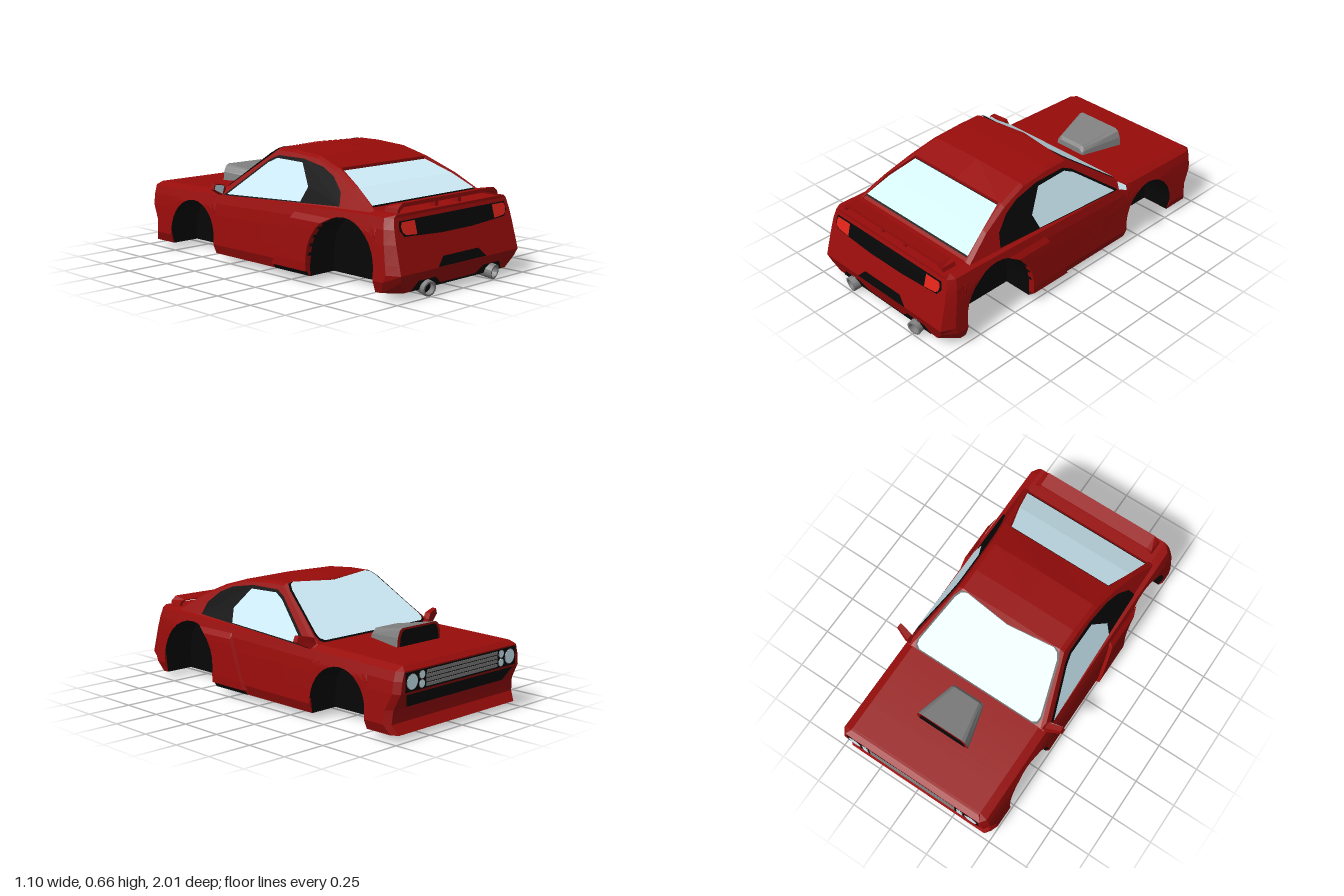
import * as THREE from 'three';

const mat = (color, double) => new THREE.MeshStandardMaterial({ color, flatShading: true, side: double ? THREE.DoubleSide : THREE.FrontSide });
const RED = mat(0x980c0a), BLACK = mat(0x060606), GREY = mat(0x808080);
const BLACK2 = mat(0x060606, true), GLASS = mat(0xd2f0fc, true), LAMP = mat(0xe0241a, true), RED2 = mat(0x980c0a, true), GREY2 = mat(0x808080, true);

// piecewise linear interpolation through [key, value] pairs
function lerpTable(t, k) {
  if (k <= t[0][0]) return t[0][1];
  for (let i = 1; i < t.length; i++) {
    if (k <= t[i][0]) {
      const f = (k - t[i - 1][0]) / (t[i][0] - t[i - 1][0]);
      return t[i - 1][1] + f * (t[i][1] - t[i - 1][1]);
    }
  }
  return t[t.length - 1][1];
}

// body lines
const FLOOR = 0.036;
const noseZ = y => lerpTable([[0.036, -0.98], [0.088, -0.947], [0.16, -0.953], [0.245, -0.994], [0.36, -0.995]], y);
const tailZ = y => lerpTable([[0.036, 0.955], [0.135, 0.99], [0.42, 0.915]], y);
const shoulderY = z => lerpTable([[-0.99, 0.355], [-0.36, 0.37], [0.4, 0.398], [0.75, 0.409]], z);
const sideX = (y, z) => lerpTable([[0, 0.48], [0.1, 0.503], [0.8, 0.485], [1, 0.466]], (y - FLOOR) / (shoulderY(z) - FLOOR));
const ROOF = [[-0.39, 0.39], [-0.03, 0.655], [0.1, 0.655], [0.289, 0.64], [0.444, 0.594], [0.604, 0.524], [0.765, 0.425]];
const roofY = z => lerpTable(ROOF, z);
const cabinX = y => 0.447 - (y - 0.4) * 0.44;
const recess = z => lerpTable([[0.444, 0.018], [0.604, 0.018], [0.765, 0.006]], z);
const ARCHES = [{ z: -0.59, y: 0.12, r: 0.195 }, { z: 0.605, y: 0.145, r: 0.23 }];

function add(parent, name, geo, material) {
  const m = new THREE.Mesh(geo, material);
  m.name = name;
  parent.add(m);
  return m;
}

// skin through successive sections of [x, y, z] points
function loft(sections) {
  const p = [];
  for (let i = 0; i + 1 < sections.length; i++) {
    for (let j = 0; j + 1 < sections[i].length; j++) {
      const a = sections[i][j], b = sections[i][j + 1], c = sections[i + 1][j + 1], d = sections[i + 1][j];
      p.push(...a, ...b, ...d, ...b, ...c, ...d);
    }
  }
  const g = new THREE.BufferGeometry();
  g.setAttribute('position', new THREE.Float32BufferAttribute(p, 3));
  g.computeVertexNormals();
  return g;
}

// move every vertex by a mapping rule
function remap(g, map) {
  const pos = g.attributes.position;
  for (let i = 0; i < pos.count; i++) pos.setXYZ(i, ...map(pos.getX(i), pos.getY(i), pos.getZ(i)));
  g.computeVertexNormals();
  return g;
}
const outline = pts => new THREE.Shape(pts.map(q => new THREE.Vector2(q[0], q[1])));
const panel = (pts, map) => remap(new THREE.ShapeGeometry(outline(pts)), map);
const mirrored = half => [...half, ...half.slice().reverse().map(([x, ...rest]) => [-x, ...rest])];

function buildBody(car) {
  // columns along the car: z rule, lower edge, corner trim by height, hood edge setback
  const cols = [
    { z: noseZ, zc: -0.99, yb: FLOOR, trim: () => 0.025, back: 0.03 },
    { z: y => noseZ(y) + 0.035, zc: -0.955, yb: FLOOR, trim: () => 0, back: 0.01 },
  ];
  const at = (z, yb) => cols.push({ z: () => z, zc: z, yb, trim: () => 0, back: 0 });
  for (const a of ARCHES) {
    at(a.z - a.r, FLOOR);
    for (let i = 0; i <= 16; i++) {
      const t = Math.PI * (1 - i / 16);
      at(a.z + a.r * Math.cos(t), a.y + a.r * Math.sin(t));
    }
    at(a.z + a.r, FLOOR);
    if (a.z < 0) [-0.2, 0, 0.2].forEach(z => at(z, FLOOR));
  }
  cols.push({ z: y => lerpTable([[0.036, 0.875], [0.135, 0.92], [0.42, 0.875]], y), zc: 0.9, yb: FLOOR, trim: () => 0, back: 0 });
  cols.push({ z: tailZ, zc: 0.95, yb: FLOOR, trim: y => lerpTable([[0.036, 0.08], [0.135, 0.035], [0.42, 0.025]], y), back: 0 });

  const T = [0, 0.161, 0.265, 0.39, 0.656, 0.85, 1];
  const rings = cols.map(c => {
    const ys = shoulderY(c.zc);
    const half = T.map(t => {
      const y = c.yb + (ys - c.yb) * t;
      return [sideX(y, c.zc) - c.trim(y), y, c.z(y)];
    });
    half.push([0.42, ys + (c.zc < 0 ? 0.022 : 0.014), c.z(ys) + c.back]);
    return mirrored(half);
  });
  const n = T.length + 1, last = rings[rings.length - 1];
  const rows = ring => Array.from({ length: n }, (_, i) => [ring[i], ring[2 * n - 1 - i]]);
  add(car, 'bodyShell', loft(rings), RED);
  add(car, 'noseFace', loft(rows(rings[0])), RED);
  add(car, 'tailFace', loft(rows(last).map(([r, l]) => [l, r])), RED);
  add(car, 'underside', loft(rings.map(r => [r[2 * n - 1], r[0]])), BLACK2);
  // inner walls of the wheel wells
  for (const a of ARCHES) {
    const h = a.y + a.r - FLOOR;
    add(car, 'wheelWellCore', new THREE.BoxGeometry(0.62, h, 2 * a.r + 0.01), BLACK).position.set(0, FLOOR + h / 2, a.z);
  }
}

function buildCabin(car) {
  // the rear window sits in a recess between the pillars
  const station = (z, y, drop) => {
    const b = shoulderY(z) - 0.01, e = y - 0.012;
    const crown = z > -0.1 && z < 0.4 ? 0.006 : 0;
    const g = lerpTable([[0.289, 0.3], [0.444, 0.324], [0.604, 0.371], [0.765, 0.408]], z);
    return mirrored([[cabinX(b), b, z], [cabinX(e), e, z], [cabinX(y) - 0.02, y, z], [g, y, z], [g, y - drop, z], [0, y + crown - drop, z]]);
  };
  const front = ROOF.slice(0, 5).map(([z, y]) => station(z, y, 0));
  const rear = ROOF.slice(4).map(([z, y]) => station(z, y, recess(z)));
  add(car, 'cabin', loft([...front, ...rear]), RED);
  // pointed roof lip above the windscreen
  add(car, 'roofLip', loft([[[0.29, 0.656, -0.032], [0, 0.658, -0.068], [-0.29, 0.656, -0.032]],
    [[0.29, 0.656, -0.028], [0, 0.662, -0.028], [-0.29, 0.656, -0.028]]]), RED2);

  const onRoof = e => (x, z) => [x, roofY(z) + e, z];
  add(car, 'windscreenTrim', panel(mirrored([[0, -0.06], [0.29, -0.035], [0.32, -0.045], [0.342, -0.08], [0.412, -0.345], [0.408, -0.378], [0.385, -0.39]]), onRoof(0.006)), BLACK2);
  add(car, 'windscreen', panel(mirrored([[0, -0.066], [0.28, -0.04], [0.31, -0.052], [0.33, -0.085], [0.402, -0.345], [0.398, -0.37], [0.375, -0.385]]), onRoof(0.011)), GLASS);
  const rearStrip = (e, s) => loft([[0.452 - s, 0.32], [0.604, 0.368], [0.735 + s, 0.4]].map(([z, x]) => {
    const y = roofY(z) - recess(z) + e;
    return [[x, y, z], [-x, y, z]];
  }));
  add(car, 'rearWindowTrim', rearStrip(0.003, 0.007), BLACK2);
  add(car, 'rearWindow', rearStrip(0.007, 0), GLASS);

  for (const s of [1, -1]) {
    const onSide = e => (z, y) => [s * (cabinX(y) + e), y, z];
    add(car, 'sideWindowTrim', panel([[0.55, 0.42], [0.53, 0.488], [0.45, 0.555], [0.36, 0.593], [0.2, 0.62], [0, 0.62], [-0.06, 0.592], [-0.34, 0.374], [-0.3, 0.374]], onSide(0.007)), BLACK2);
    add(car, 'sideWindow', panel([[0.27, 0.411], [0.295, 0.488], [0.2, 0.602], [0, 0.606], [-0.06, 0.577], [-0.31, 0.382]], onSide(0.012)), GLASS);
  }
}

function buildSides(car) {
  for (const s of [1, -1]) {
    // flared panel between the door line and the rear arch
    const a = ARCHES[1], rows = [0.066, 0.11, 0.15, 0.2, 0.25, 0.3, 0.33, 0.36].map(y => {
      const z0 = 0.115 + (y - 0.07) * 0.48;
      const z1 = a.z - (y > a.y ? Math.sqrt(a.r ** 2 - (y - a.y) ** 2) : a.r);
      const out = y < 0.35 ? 0.018 : 0.005;
      return [[s * (sideX(y, z0) - 0.01), y, z0 - 0.01], [s * (sideX(y, z0) + out), y, z0],
        [s * (sideX(y, z1) + out), y, z1], [s * (sideX(y, z1) - 0.02), y, z1]];
    });
    add(car, 'fenderFlare', loft(rows), RED2);
    add(car, 'sillTrim', panel([[0.105, 0.037], [0.375, 0.037], [0.375, 0.066], [0.115, 0.066]], (z, y) => [s * (sideX(y, z) + 0.006), y, z]), BLACK2);

    // door mirror, swept back toward its tip
    const swept = (x, y, z) => [s * x, y, z * (x > 0.5 ? 0.7 : 1) - 0.335 + (x - 0.5) * 0.2];
    const housing = new THREE.ExtrudeGeometry(outline([[0.44, 0.398], [0.475, 0.373], [0.549, 0.413], [0.537, 0.446], [0.455, 0.43]]), { depth: 0.04, bevelEnabled: false });
    add(car, 'mirrorHousing', remap(housing.translate(0, 0, -0.04), swept), RED2);
    add(car, 'mirrorGlass', panel([[0.478, 0.381], [0.543, 0.414], [0.533, 0.44], [0.46, 0.426]], (x, y) => swept(x, y, 0.004)), GLASS);
  }
}

function buildNose(car) {
  const onNose = e => (x, y) => [x, y, noseZ(y) - e];
  add(car, 'grillePanel', panel(mirrored([[0.435, 0.248], [0.435, 0.349]]), onNose(0.002)), BLACK2);
  add(car, 'bumperIntake', panel(mirrored([[0.38, 0.163], [0.42, 0.235]]), onNose(0.002)), BLACK2);
  for (let i = 0; i < 4; i++) add(car, 'grilleSlat', new THREE.BoxGeometry(0.56, 0.017, 0.008), GREY).position.set(0, 0.266 + i * 0.022, -0.995);
  for (const s of [1, -1]) {
    for (const [x, y, r] of [[0.385, 0.298, 0.038], [0.313, 0.322, 0.019], [0.313, 0.276, 0.019]]) {
      add(car, 'headlightRim', new THREE.TorusGeometry(r, 0.004, 6, 20), GREY).position.set(s * x, y, -0.995);
      const lens = add(car, 'headlightLens', new THREE.CylinderGeometry(r, r, 0.01, 20), GLASS);
      lens.rotation.x = Math.PI / 2;
      lens.position.set(s * x, y, -0.994);
    }
  }
  // hood scoop with a dark mouth
  const section = (z, w, t, h) => mirrored([[w, 0.38], [w * 0.97, 0.385 + (h - 0.385) * 0.5], [(w + t) / 2, h - 0.012], [t, h]]).map(([x, y]) => [x, y, z]);
  add(car, 'hoodScoop', loft([section(-0.7, 0.17, 0.13, 0.48), section(-0.465, 0.107, 0.08, 0.44), section(-0.45, 0.1, 0.07, 0.422), section(-0.449, 0.1, 0.07, 0.38)]), GREY2);
  add(car, 'scoopFace', panel(section(-0.7, 0.17, 0.13, 0.48), (x, y) => [x, y, -0.7]), RED2);
  add(car, 'scoopMouth', panel(section(-0.7, 0.152, 0.118, 0.466), (x, y) => [x, y + 0.004, -0.703]), BLACK2);
}

function buildTail(car) {
  const onTail = e => (x, y) => [x, y, tailZ(y) + e];
  add(car, 'tailPanel', panel(mirrored([[0.12, 0.3], [0.395, 0.315], [0.422, 0.348], [0.415, 0.391]]), onTail(0.004)), BLACK2);
  add(car, 'plateRecess', panel(mirrored([[0.19, 0.138], [0.14, 0.187]]), onTail(0.004)), BLACK2);
  add(car, 'diffuser', panel(mirrored([[0.36, 0.037], [0.32, 0.088], [0.19, 0.088], [0.14, 0.048]]), onTail(0.004)), BLACK2);
  for (const s of [1, -1]) {
    add(car, 'tailLight', panel([[0.305, 0.386], [0.402, 0.386], [0.412, 0.363], [0.405, 0.337], [0.385, 0.323], [0.305, 0.317]].map(([x, y]) => [s * x, y]), onTail(0.009)), LAMP);
    // angled exhaust pipe
    const pipe = new THREE.Group();
    pipe.name = 'exhaust';
    const profile = [[0.03, 0], [0.041, 0], [0.041, 0.135], [0.031, 0.135], [0.03, 0.02]].map(q => new THREE.Vector2(...q));
    add(pipe, 'exhaustPipe', new THREE.LatheGeometry(profile, 18), GREY2);
    add(pipe, 'exhaustBore', new THREE.CylinderGeometry(0.031, 0.031, 0.01, 18), BLACK).position.y = 0.1;
    pipe.position.set(s * 0.24, 0.063, 0.866);
    pipe.quaternion.setFromUnitVectors(new THREE.Vector3(0, 1, 0), new THREE.Vector3(s * 0.15, -0.17, 1).normalize());
    car.add(pipe);
    add(car, 'spoilerPost', new THREE.BoxGeometry(0.022, 0.036, 0.04), RED).position.set(s * 0.09, 0.438, 0.87);
  }
  // bridge-shaped rear spoiler, its top falling toward the leading edge
  const top = mirrored([[0.4, 0.41], [0.39, 0.446], [0.36, 0.47]]);
  const under = mirrored([[0.385, 0.41], [0.375, 0.434], [0.35, 0.45]]).reverse();
  const wing = new THREE.ExtrudeGeometry(outline([...top, ...under]), { depth: 0.085, bevelEnabled: false });
  add(car, 'rearSpoiler', remap(wing, (x, y, z) => [x, y - (y > 0.46 ? (0.085 - z) * 0.17 : 0), z + 0.815]), RED2);
}

export function createModel() {
  const car = new THREE.Group();
  car.name = 'carBody';
  buildBody(car);
  buildCabin(car);
  buildSides(car);
  buildNose(car);
  buildTail(car);
  return car;
}
